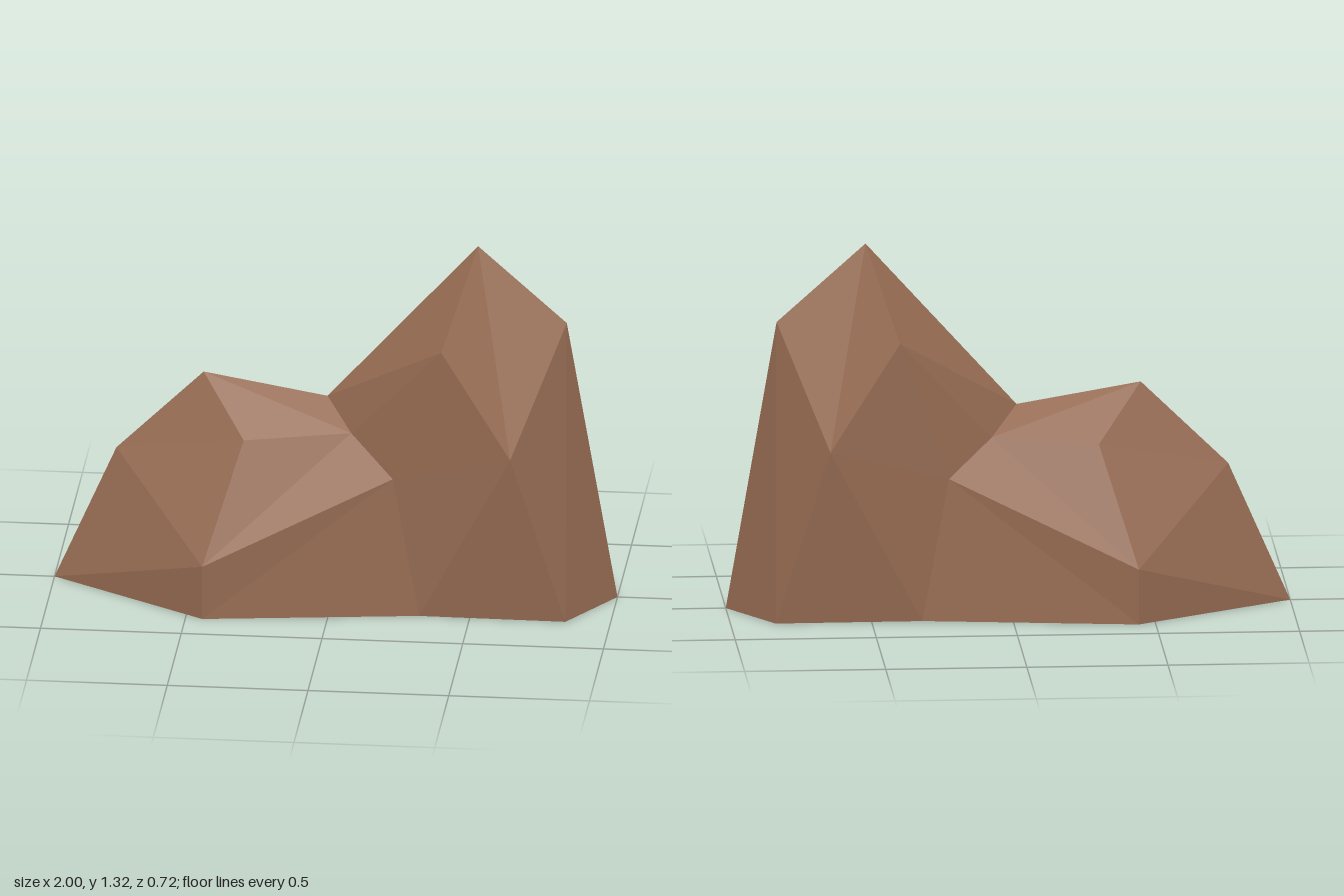
import * as THREE from 'three';

export function createModel() {
  const group = new THREE.Group();
  group.name = 'rockFormation';
  const stone = new THREE.MeshStandardMaterial({ color: 0x946a51 });
  stone.name = 'brownStone';
  stone.flatShading = true;

  // Corners of one half: ridge line (z = 0), then flank, then foot
  const p = {
    tail: [-1, 0, 0], tailTop: [-0.78, 0.5, 0], lowPeak: [-0.47, 0.8, 0], saddle: [-0.03, 0.725, 0],
    peak: [0.505, 1.315, 0], shoulder: [0.82, 1.035, 0], nose: [1, 0, 0],
    bulge: [-0.44, 0.2, 0.36], lowSide: [-0.31, 0.615, 0.18], saddleSide: [0.065, 0.63, 0.11],
    waist: [0.225, 0.51, 0.235], peakSide: [0.4, 1.01, 0.265], hip: [0.65, 0.63, 0.315],
    footA: [-0.44, 0, 0.355], footB: [0.32, 0, 0.25], footC: [0.84, 0, 0.255],
  };

  // Facets, counter-clockwise from outside
  const facets = [
    ['tail', 'footA', 'bulge', 'tailTop'],
    ['tailTop', 'bulge', 'lowSide', 'lowPeak'],
    ['lowPeak', 'lowSide', 'saddleSide', 'saddle'],
    ['bulge', 'waist', 'saddleSide', 'lowSide'],
    ['footA', 'footB', 'waist', 'bulge'],
    ['footB', 'footC', 'hip', 'waist'],
    ['waist', 'hip', 'peakSide', 'saddleSide'],
    ['saddle', 'saddleSide', 'peakSide', 'peak'],
    ['peak', 'peakSide', 'hip', 'shoulder'],
    ['shoulder', 'hip', 'footC', 'nose'],
    ['nose', 'footC', 'footB', 'footA', 'tail'],
  ];

  // Fan each facet into triangles and mirror it across z
  const positions = [];
  for (const side of [1, -1]) {
    for (const facet of facets) {
      for (let i = 1; i < facet.length - 1; i++) {
        const tri = [facet[0], facet[i], facet[i + 1]];
        if (side < 0) tri.reverse();
        for (const key of tri) {
          const [x, y, z] = p[key];
          positions.push(x, y, z * side);
        }
      }
    }
  }
  const geometry = new THREE.BufferGeometry();
  geometry.setAttribute('position', new THREE.Float32BufferAttribute(positions, 3));
  geometry.computeVertexNormals();

  const rock = new THREE.Mesh(geometry, stone);
  rock.name = 'rock';
  group.add(rock);
  return group;
}
